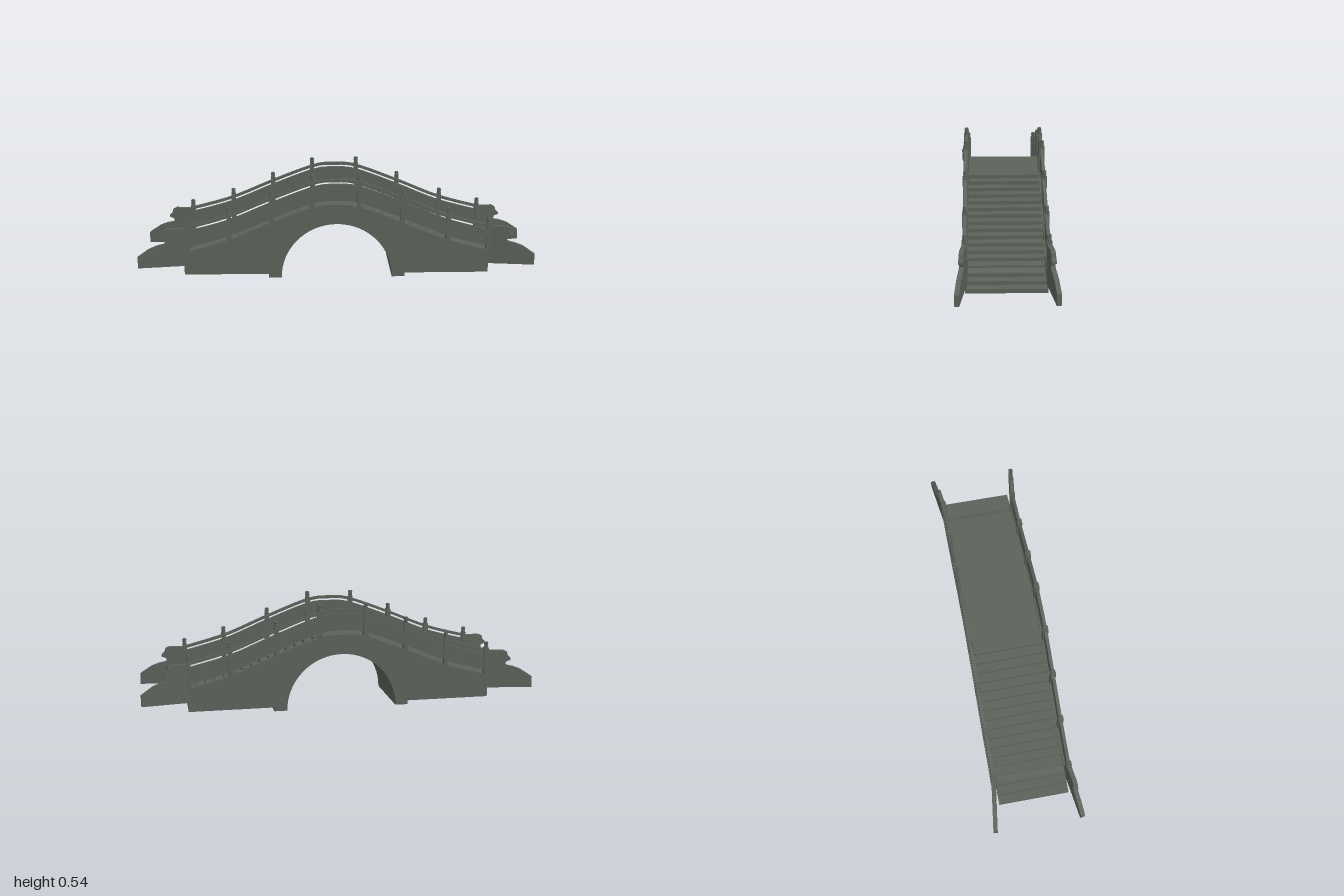
import * as THREE from 'three';

const HALF = 0.77;      // half length of the masonry
const SIDE = 0.19;      // z of the two parapets

// Height of the kerb top along the bridge
const half = [[0, 0.382], [0.115, 0.37], [0.33, 0.29], [0.55, 0.2], [HALF, 0.14]];
const crown = new THREE.SplineCurve([
  ...half.slice(1).reverse().map(([x, y]) => new THREE.Vector2(-x, y)),
  ...half.map(([x, y]) => new THREE.Vector2(x, y)),
]);
const crownPoints = crown.getPoints(48);

function crownY(x) {
  const i = Math.max(1, crownPoints.findIndex((p) => p.x >= x));
  const a = crownPoints[i - 1], b = crownPoints[i];
  return a.y + (b.y - a.y) * (x - a.x) / (b.x - a.x);
}

// Extrude a side outline, centred on z = 0
function slab(points, depth) {
  const g = new THREE.ExtrudeGeometry(new THREE.Shape(points), { depth, bevelEnabled: false });
  return g.translate(0, 0, -depth / 2);
}

// Band following the crown curve between two height offsets
function band(low, high, depth) {
  const v = (d) => crownPoints.map((p) => new THREE.Vector2(p.x, p.y + d));
  return slab([...v(low), ...v(high).reverse()], depth);
}

export function createModel() {
  const group = new THREE.Group();
  const stone = new THREE.MeshStandardMaterial({ color: 0x5b635a });
  stone.name = 'grey green stone';
  const add = (name, geometry, parent = group, x = 0, y = 0, z = 0) => {
    const m = new THREE.Mesh(geometry, stone);
    m.name = name;
    m.position.set(x, y, z);
    parent.add(m);
    return m;
  };
  const V = (x, y) => new THREE.Vector2(x, y);

  // Masonry body with round arch and small footings
  const arch = [];
  for (let i = 0; i <= 32; i++) {
    const a = Math.PI * (1 - i / 32);
    arch.push(V(0.28 * Math.cos(a), 0.28 * Math.sin(a)));
  }
  add('archBody', slab([
    V(-HALF, 0.02), V(-0.345, 0.02), V(-0.345, 0), ...arch,
    V(0.345, 0), V(0.345, 0.02), V(HALF, 0.02),
    ...crownPoints.map((p) => V(p.x, p.y - 0.023)).reverse(),
  ], 2 * SIDE));

  // Stairs on both slopes, joined by the flat deck
  const steps = 17, run = 0.76 / steps, rise = 0.0178;
  const right = [V(0.86, 0.065)];
  for (let i = 0; i < steps; i++) {
    const y = 0.085 + i * rise;
    right.push(V(0.86 - i * run, y), V(0.86 - (i + 1) * run, y));
  }
  const deck = [V(0.15, 0.3), V(0.5, 0.065), ...right];
  add('stairs', slab([
    ...deck, ...deck.map((p) => V(-p.x, p.y)).reverse(),
  ], 0.358));

  // Parapets: kerb, panel, handrail and posts
  const kerb = band(-0.025, 0, 0.026);
  const panel = band(0.02, 0.105, 0.014);
  const rail = band(0.116, 0.13, 0.016);
  const shaft = new THREE.BoxGeometry(0.022, 0.15, 0.027);
  const cap = new THREE.CylinderGeometry(0.009, 0.009, 0.03, 10);
  const ring = new THREE.TorusGeometry(0.009, 0.0028, 6, 12).rotateX(Math.PI / 2 + 0.2);
  const postX = [-0.757, -0.54, -0.328, -0.12, 0.112, 0.33, 0.56, 0.765];

  // Curled end wing outline, measured from its hinge
  const wing = slab([
    V(-0.008, 0.07), V(0.235, 0.07), V(0.235, 0.125), V(0.175, 0.165),
    V(0.135, 0.18), V(0.105, 0.186), V(0.094, 0.195), V(0.097, 0.207),
    V(0.12, 0.216), V(0.12, 0.226), V(0.105, 0.24), V(0.1, 0.258),
    V(0.085, 0.266), V(-0.008, 0.266),
  ], 0.022);

  for (const s of [1, -1]) {
    const side = new THREE.Group();
    side.name = s > 0 ? 'frontParapet' : 'backParapet';
    side.position.z = s * SIDE;
    group.add(side);
    add('kerb', kerb, side);
    add('panel', panel, side);
    add('handrail', rail, side);

    for (const x of postX) {
      const post = new THREE.Group();
      post.name = 'post';
      post.position.set(x, crownY(x), 0);
      side.add(post);
      add('postShaft', shaft, post, 0, 0.063, 0);
      add('postCap', cap, post, 0, 0.153, 0);
      for (let i = 0; i < 3; i++) add('capRing', ring, post, 0, 0.144 + i * 0.009, 0);
    }

    // Wings splay outward at each end; a half turn serves the far end
    for (const e of [1, -1]) {
      const w = add('endWing', wing, side, e * 0.765, 0, 0);
      w.rotation.y = (e > 0 ? 0 : Math.PI) - e * s * 0.14;
    }
  }
  return group;
}
